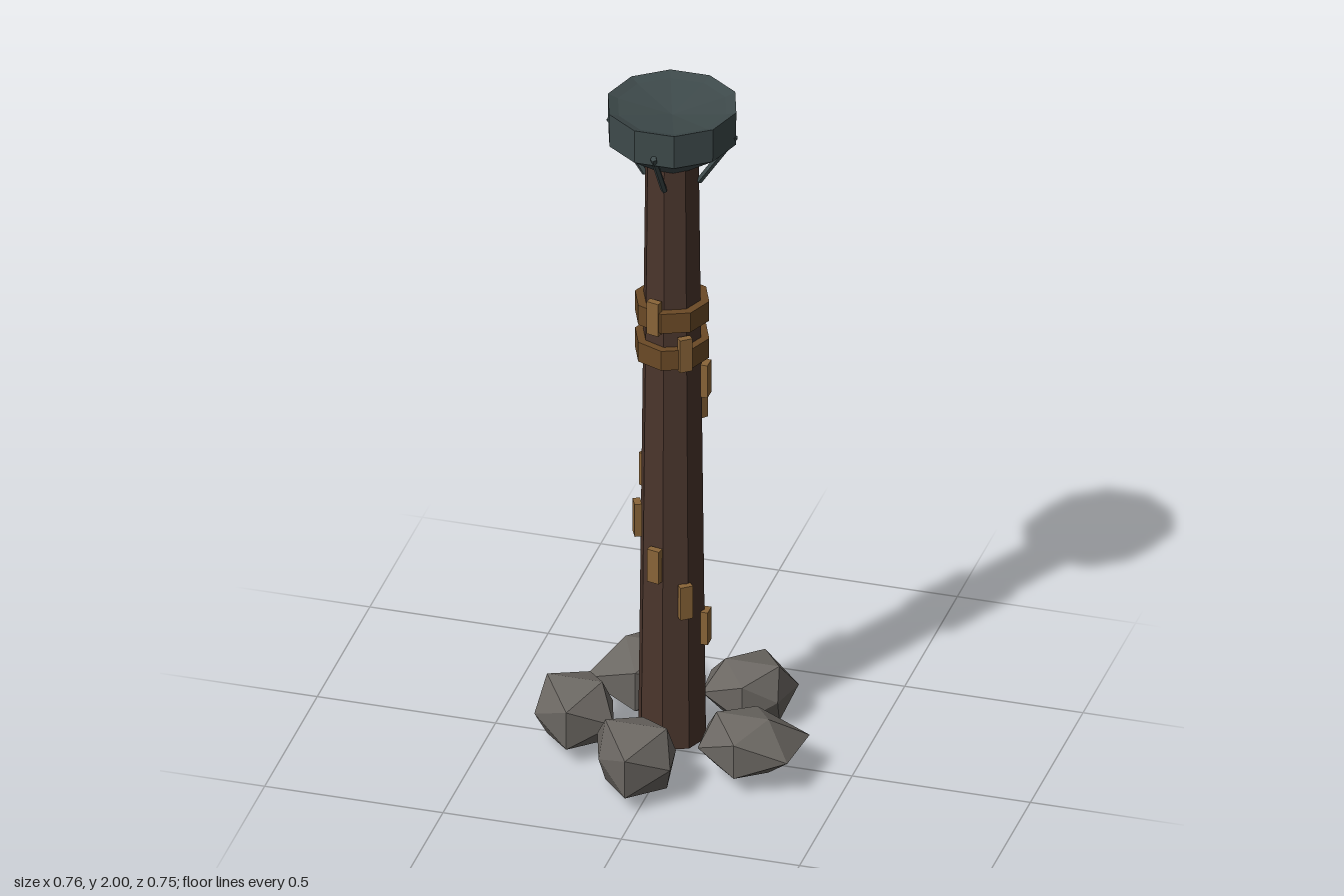
import * as THREE from 'three';

const mat = (name, color, extra = {}) => {
  const m = new THREE.MeshStandardMaterial({ color, flatShading: true, ...extra });
  m.name = name;
  return m;
};

function addMesh(parent, name, geometry, material, x = 0, y = 0, z = 0) {
  const mesh = new THREE.Mesh(geometry, material);
  mesh.name = name;
  mesh.position.set(x, y, z);
  parent.add(mesh);
  return mesh;
}

// Faceted rock: an icosahedron whose vertices are moved to given [x, z] points.
// corners: back-left, back-right, front-left, front-right; tips: back, front; ridge: left, right
function rockGeometry({ corners, tips, ridge, low, high }) {
  const geo = new THREE.IcosahedronGeometry(1, 0);
  const p = geo.attributes.position;
  const mid = (low + high) / 2, half = (high - low) / 2;
  for (let i = 0; i < p.count; i++) {
    const x = p.getX(i), y = p.getY(i), z = p.getZ(i);
    const right = x > 0 ? 1 : 0, front = z > 0 ? 1 : 0;
    let point;
    if (Math.abs(y) > 0.7) point = ridge[right];
    else if (Math.abs(x) < 0.1) point = tips[front];
    else point = corners[front * 2 + right];
    p.setXYZ(i, point[0], mid + (y / 0.851) * half, point[1]);
  }
  geo.computeVertexNormals();
  return geo;
}

const ROCKS = [
  { corners: [[0.1, 0.01], [0.378, -0.01], [0.109, 0.143], [0.364, 0.156]],
    tips: [[0.224, -0.034], [0.224, 0.19]], ridge: [[0.143, 0.079], [0.289, 0.079]], low: 0.02, high: 0.185 },
  { corners: [[0.022, -0.283], [0.27, -0.273], [0.032, -0.158], [0.244, -0.16]],
    tips: [[0.155, -0.343], [0.155, -0.123]], ridge: [[0.083, -0.21], [0.234, -0.21]], low: 0.01, high: 0.18 },
  { corners: [[-0.246, -0.295], [-0.046, -0.283], [-0.295, -0.145], [-0.012, -0.196]],
    tips: [[-0.137, -0.378], [-0.14, -0.107]], ridge: [[-0.204, -0.234], [-0.075, -0.234]], low: 0, high: 0.19 },
  { corners: [[-0.378, -0.032], [-0.18, -0.03], [-0.362, 0.099], [-0.139, 0.1]],
    tips: [[-0.254, -0.067], [-0.253, 0.166]], ridge: [[-0.345, 0.036], [-0.19, 0.036]], low: 0.015, high: 0.2 },
  { corners: [[-0.17, 0.152], [0.059, 0.18], [-0.127, 0.285], [0.075, 0.289]],
    tips: [[-0.05, 0.127], [-0.028, 0.372]], ridge: [[-0.125, 0.228], [0.048, 0.228]], low: 0.015, high: 0.2 },
];

export function createModel() {
  const model = new THREE.Group();
  model.name = 'torchPost';
  const wood = mat('darkWood', 0x4a352c);
  const leather = mat('leather', 0x6b4a26);
  const brass = mat('brass', 0x8a6538);
  const iron = mat('iron', 0x3e4a4b, { side: THREE.DoubleSide });
  const stone = mat('stone', 0x6b6762);

  // Everything but the rocks shares one slightly offset axis
  const torch = new THREE.Group();
  torch.name = 'torch';
  torch.position.set(-0.01, 0, -0.018);
  model.add(torch);

  // Tapered octagonal post
  addMesh(torch, 'post', new THREE.CylinderGeometry(0.075, 0.095, 1.79, 8), wood, 0, 0.935, 0);

  // Two wrapped bands
  for (const y of [1.255, 1.37]) {
    addMesh(torch, 'band', new THREE.CylinderGeometry(0.104, 0.104, 0.06, 8), leather, 0, y, 0);
  }

  // Small plates spiralling up the post
  for (let i = 0; i < 10; i++) {
    const a = i * 0.9, r = 0.095;
    const plate = addMesh(torch, 'plate', new THREE.BoxGeometry(0.02, 0.1, 0.036), brass,
      Math.cos(a) * r, 0.39 + i * 0.11, Math.sin(a) * r);
    plate.rotation.y = -a;
  }

  // Ten-sided bowl with a shallow dish on top
  const profile = [[0.075, 1.825], [0.179, 1.9], [0.18, 2], [0.152, 1.99], [0, 1.965]]
    .map(([r, y]) => new THREE.Vector2(r, y));
  addMesh(torch, 'bowl', new THREE.LatheGeometry(profile, 10, Math.PI / 2), iron);

  // Four slanted struts bracing the bowl
  const up = new THREE.Vector3(0, 1, 0);
  for (let i = 0; i < 4; i++) {
    const a = (i * Math.PI) / 2;
    const foot = new THREE.Vector3(Math.cos(a) * 0.075, 1.77, Math.sin(a) * 0.075);
    const head = new THREE.Vector3(Math.cos(a) * 0.177, 1.925, Math.sin(a) * 0.177);
    const dir = head.clone().sub(foot);
    const strut = addMesh(torch, 'strut', new THREE.CylinderGeometry(0.009, 0.009, dir.length(), 5), iron);
    strut.position.copy(foot).add(head).multiplyScalar(0.5);
    strut.quaternion.setFromUnitVectors(up, dir.normalize());
  }

  // Ring of rocks around the foot
  for (const rock of ROCKS) addMesh(model, 'rock', rockGeometry(rock), stone);

  return model;
}
